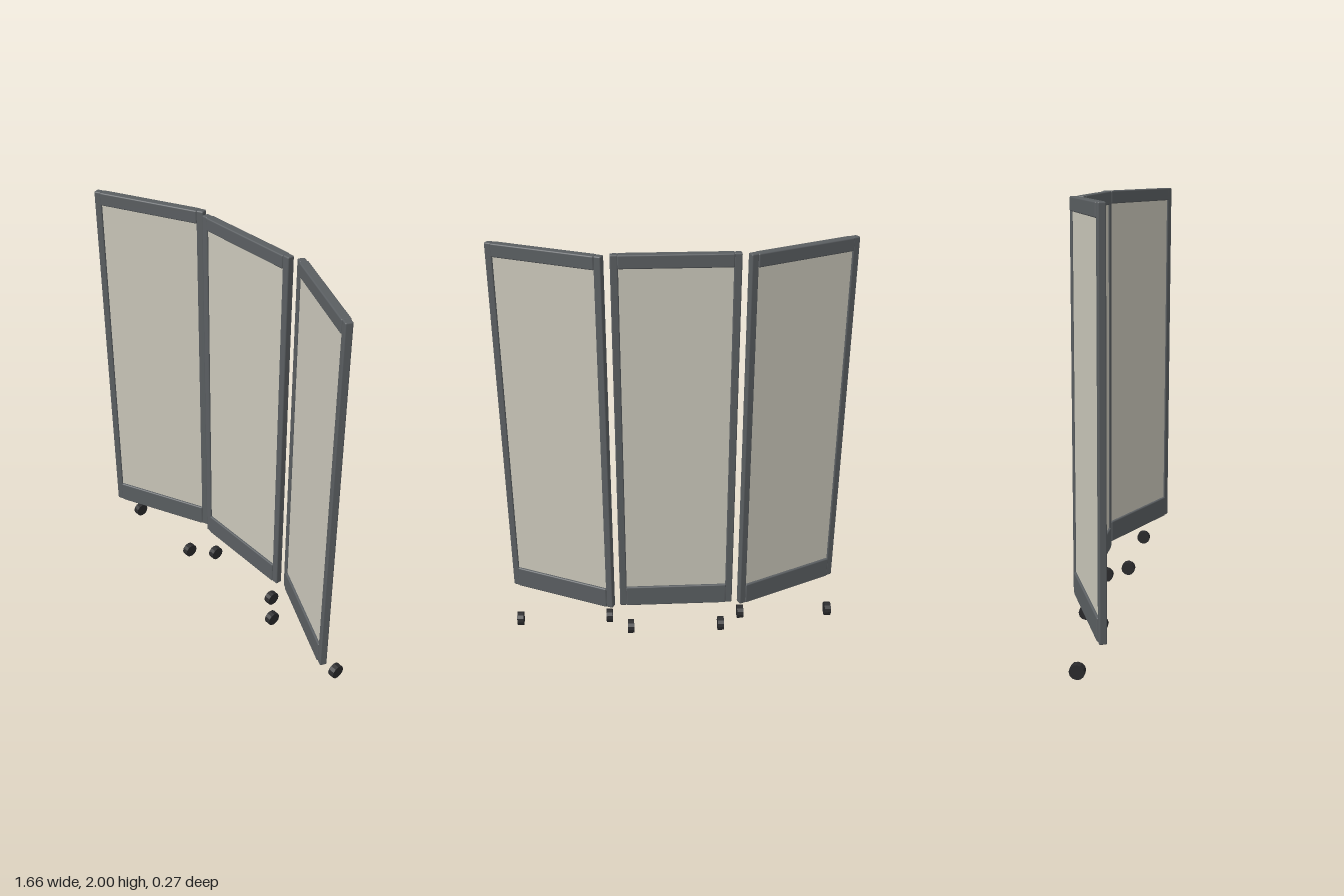
import * as THREE from 'three';
import { RoundedBoxGeometry } from 'three/addons/geometries/RoundedBoxGeometry.js';

const WIDTH = 0.565, BOTTOM = 0.18, TOP = 2.0;
const POST = 0.035, TOP_RAIL = 0.062, BOTTOM_RAIL = 0.11;
const ANGLE = THREE.MathUtils.degToRad(25);

const frameMat = new THREE.MeshStandardMaterial({ color: 0x5a5e61 });
const sheetMat = new THREE.MeshStandardMaterial({ color: 0xc9c6b9 });
const wheelMat = new THREE.MeshStandardMaterial({ color: 0x2a2a2c, flatShading: true });

function addBar(parent, name, w, h, d, x, y) {
  const bar = new THREE.Mesh(new RoundedBoxGeometry(w, h, d, 2, 0.006), frameMat);
  bar.name = name;
  bar.position.set(x, y, 0);
  parent.add(bar);
}

// One framed screen: two posts, two slightly deeper rails and the infill sheet
function createScreen(name) {
  const screen = new THREE.Group();
  screen.name = name;
  const inner = WIDTH - 2 * POST;
  for (const side of [-1, 1]) {
    addBar(screen, side > 0 ? 'leftPost' : 'rightPost', POST, TOP - BOTTOM, 0.034,
      side * (WIDTH - POST) / 2, (TOP + BOTTOM) / 2);
  }
  addBar(screen, 'topRail', inner + 0.006, TOP_RAIL, 0.042, 0, TOP - TOP_RAIL / 2);
  addBar(screen, 'bottomRail', inner + 0.006, BOTTOM_RAIL, 0.042, 0, BOTTOM + BOTTOM_RAIL / 2);

  const low = BOTTOM + BOTTOM_RAIL, high = TOP - TOP_RAIL;
  const sheet = new THREE.Mesh(new THREE.BoxGeometry(inner + 0.004, high - low + 0.01, 0.02), sheetMat);
  sheet.name = 'infillSheet';
  sheet.position.y = (low + high) / 2;
  screen.add(sheet);
  return screen;
}

export function createModel() {
  const model = new THREE.Group();
  model.name = 'foldingScreen';

  const sections = [
    { name: 'rightScreen', x: -0.57, z: 0, turn: ANGLE },
    { name: 'centreScreen', x: 0, z: -0.095, turn: 0 },
    { name: 'leftScreen', x: 0.57, z: 0, turn: -ANGLE },
  ];
  // Wheels run front to back, axle along x
  const wheelGeo = new THREE.CylinderGeometry(0.035, 0.035, 0.032, 12).rotateZ(Math.PI / 2);

  for (const { name, x, z, turn } of sections) {
    const screen = createScreen(name);
    screen.position.set(x, 0, z);
    screen.rotation.y = turn;
    model.add(screen);

    for (const side of [-1, 1]) {
      const wheel = new THREE.Mesh(wheelGeo, wheelMat);
      wheel.name = name + (side > 0 ? 'LeftWheel' : 'RightWheel');
      wheel.position.set(x + side * 0.23, 0.035, z);
      model.add(wheel);
    }
  }
  return model;
}
